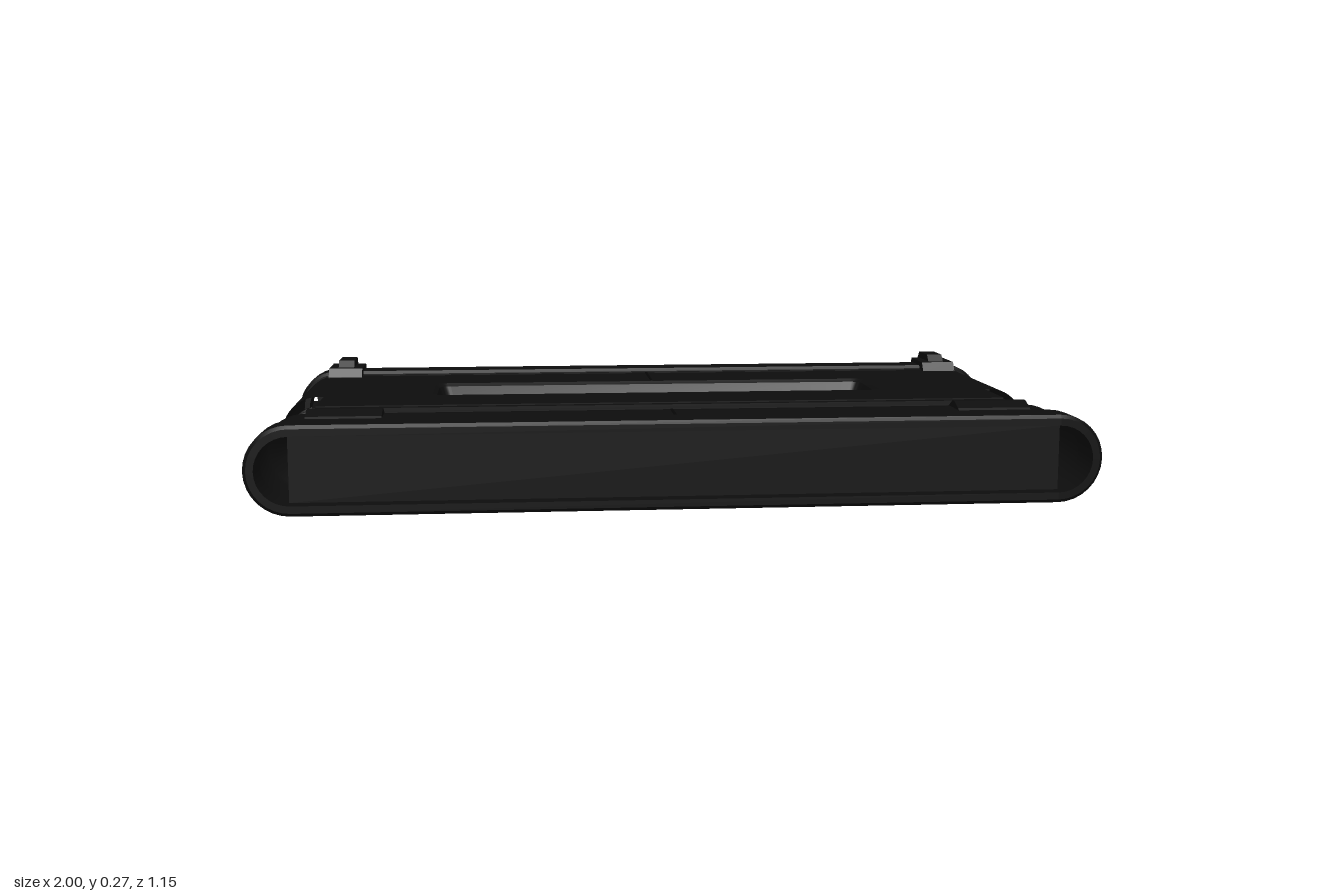
import * as THREE from 'three';
import { toCreasedNormals } from 'three/addons/utils/BufferGeometryUtils.js';

const CX = 0.895; // centre of the rounded ends
const CY = 0.135; // mid height
const R = 0.0925; // half thickness of the main body

const black = new THREE.MeshStandardMaterial({ color: 0x0d0d0d, side: THREE.DoubleSide });
black.name = 'black casing';
const dark = new THREE.MeshStandardMaterial({ color: 0x060606 });
dark.name = 'dark seam';
const grey = new THREE.MeshStandardMaterial({ color: 0xb2b2b2 });
grey.name = 'grey glass';

// Outline points with two flat sides and two rounded ends
function stadium(r, n = 16) {
  const pts = [];
  for (const side of [0, 1]) {
    for (let i = 0; i <= n; i++) {
      const a = -Math.PI / 2 + Math.PI * (side + i / n);
      pts.push(new THREE.Vector2((side ? -CX : CX) + r * Math.cos(a), CY + r * Math.sin(a)));
    }
  }
  return pts;
}

// Rounded rectangle points, always the same count, centred on x = 0
function roundRect(halfX, y0, y1, r, n = 6) {
  const pts = [];
  const corners = [[halfX - r, y0 + r], [halfX - r, y1 - r], [r - halfX, y1 - r], [r - halfX, y0 + r]];
  corners.forEach(([x, y], k) => {
    for (let i = 0; i <= n; i++) {
      const a = (k - 1 + i / n) * Math.PI / 2;
      pts.push(new THREE.Vector2(x + r * Math.cos(a), y + r * Math.sin(a)));
    }
  });
  return pts;
}

// Surface through closed rings of Vector3 with equal point counts
function loft(rings) {
  const n = rings[0].length;
  const index = [];
  for (let k = 0; k < rings.length - 1; k++) {
    for (let i = 0; i < n; i++) {
      const a = k * n + i, b = k * n + (i + 1) % n;
      index.push(a, b, b + n, a, b + n, a + n);
    }
  }
  const g = new THREE.BufferGeometry().setFromPoints(rings.flat());
  g.setIndex(index);
  return toCreasedNormals(g, 0.5);
}

// Hollow sleeve along z from [z, radius] sections
const sleeve = (sections) => loft(sections.map(([z, r]) =>
  stadium(r).map((p) => new THREE.Vector3(p.x, p.y, z))));

// Flat plate in plan, centred on the mid height; shape y becomes -z
function plan(points, thickness, hole) {
  const s = new THREE.Shape(points);
  if (hole) s.holes.push(new THREE.Path(hole));
  const g = new THREE.ExtrudeGeometry(s, { depth: thickness, bevelEnabled: false });
  g.rotateX(-Math.PI / 2);
  g.translate(0, CY - thickness / 2, 0);
  return g;
}

// Profile given as [z, y], extruded along x between x0 and x1
function alongX(profile, x0, x1) {
  const s = new THREE.Shape(profile.map(([z, y]) => new THREE.Vector2(-z, y)));
  const g = new THREE.ExtrudeGeometry(s, { depth: x1 - x0, bevelEnabled: false });
  g.rotateY(Math.PI / 2);
  g.translate(x0, 0, 0);
  return g;
}

// Mirrors an upper [z, y] profile below the mid height
const closeBelow = (top) => [...top, ...top.map(([z, y]) => [z, 2 * CY - y]).reverse()];

export function createModel() {
  const model = new THREE.Group();
  model.name = 'slottedCase';
  const add = (name, geometry, material = black) => {
    const m = new THREE.Mesh(geometry, material);
    m.name = name;
    model.add(m);
    return m;
  };
  const box = (name, x0, x1, y0, y1, z0, z1, material) => {
    const g = new THREE.BoxGeometry(x1 - x0, y1 - y0, z1 - z0);
    g.translate((x0 + x1) / 2, (y0 + y1) / 2, (z0 + z1) / 2);
    add(name, g, material);
  };
  // Hollow ring between two z values, with softened outer edges
  const ring = (name, r, inner, z0, z1, soft) => add(name, sleeve([
    [z0, inner], [z0, r - soft], [z0 + soft, r], [z1 - soft, r], [z1, r - soft], [z1, inner], [z0, inner],
  ]));

  // Rear body slab with the window opening
  const corners = [[-CX, 0], [CX, 0], [CX, 0.5], [-CX, 0.5]].map(([x, y]) => new THREE.Vector2(x, y));
  add('rearBody', plan(corners, 2 * R, roundRect(0.6, 0.01, 0.255, 0.03)));

  // Rounded sides of the rear body
  for (const s of [-1, 1]) {
    const side = new THREE.CylinderGeometry(R, R, 0.5, 20, 1, true, 0, Math.PI);
    side.rotateX(Math.PI / 2);
    const m = add('rearBodySide', side);
    m.scale.x = s;
    m.position.set(s * CX, CY, -0.25);
  }

  // Window funnels and glass
  const funnelRing = (x, y0, y1, r, height) => roundRect(x, y0, y1, r)
    .map((p) => new THREE.Vector3(p.x, height, -p.y));
  for (const s of [-1, 1]) {
    add('windowFrame', loft([
      funnelRing(0.6, 0.01, 0.255, 0.03, CY + s * R),
      funnelRing(0.59, 0.02, 0.245, 0.03, CY + s * 0.085),
      funnelRing(0.56, 0.04, 0.22, 0.02, CY + s * 0.004),
    ]));
  }
  add('windowGlass', plan(roundRect(0.56, 0.04, 0.22, 0.02), 0.008), grey);

  // End collars and the ribs in the rear recess
  ring('rearCollar', 0.105, 0.078, -0.545, -0.45, 0.008);
  ring('frontCollar', 0.105, 0.08, 0.475, 0.575, 0.008);
  for (const y of [0.085, 0.185]) box('rearRib', -CX, CX, y - 0.012, y + 0.012, -0.525, -0.49);

  // Neck, tapered shoulder and the two thin flanges
  box('neck', -0.91, 0.91, 0.1, 0.172, 0, 0.3);
  add('rearShoulder', alongX(closeBelow([[0, 0.217], [0.04, 0.205], [0.085, 0.178]]), -0.905, 0.905));
  ring('flange', 0.07, 0.036, 0.01, 0.03, 0.004);
  ring('flange', 0.07, 0.036, 0.08, 0.1, 0.004);

  // Plates bridging the gap, above and below
  for (const s of [-1, 1]) {
    const y = CY + s * 0.0845;
    box('bridgePlate', -0.88, 0.88, y - 0.008, y + 0.008, 0, 0.175);
    box('bridgeLip', -0.88, 0.88, y - 0.005, y + 0.005, 0.17, 0.198);
  }

  // Flared front body with its inner core
  add('frontBody', sleeve([[0.198, 0.036], [0.215, 0.043], [0.29, 0.086], [0.305, R],
    [0.455, R], [0.463, 0.086], [0.48, 0.086]]));
  box('frontCore', -0.9, 0.9, 0.058, 0.212, 0.3, 0.55);

  // Grip pads on the front body
  const pad = [[0.295, 0.225], [0.325, 0.241], [0.335, 0.245], [0.35, 0.245], [0.385, 0.232], [0.395, 0.225]];
  for (const s of [-1, 1]) {
    const x = s * 0.79;
    add('gripPad', alongX(closeBelow(pad), x - 0.09, x + 0.09));
  }

  // Corner clamps with a raised fin
  const band = closeBelow([[-0.56, 0.235], [-0.55, 0.252], [-0.425, 0.252], [-0.408, 0.228]]);
  const fin = closeBelow([[-0.575, 0.25], [-0.557, 0.27], [-0.465, 0.27], [-0.445, 0.25]]);
  for (const s of [-1, 1]) {
    const x = s * 0.865;
    add('clampBand', alongX(band, x - 0.047, x + 0.047));
    add('clampFin', alongX(fin, x - 0.022, x + 0.022));
  }

  // Thin centre seams and cross seam, top and bottom
  for (const s of [-1, 1]) {
    const y = CY + s * R;
    for (const [z0, z1] of [[-0.44, -0.26], [0.31, 0.455]]) {
      box('centreSeam', -0.003, 0.003, y - 0.002, y + 0.002, z0, z1, dark);
    }
    box('crossSeam', -CX, CX, y - 0.002, y + 0.002, -0.446, -0.44, dark);
  }
  return model;
}
